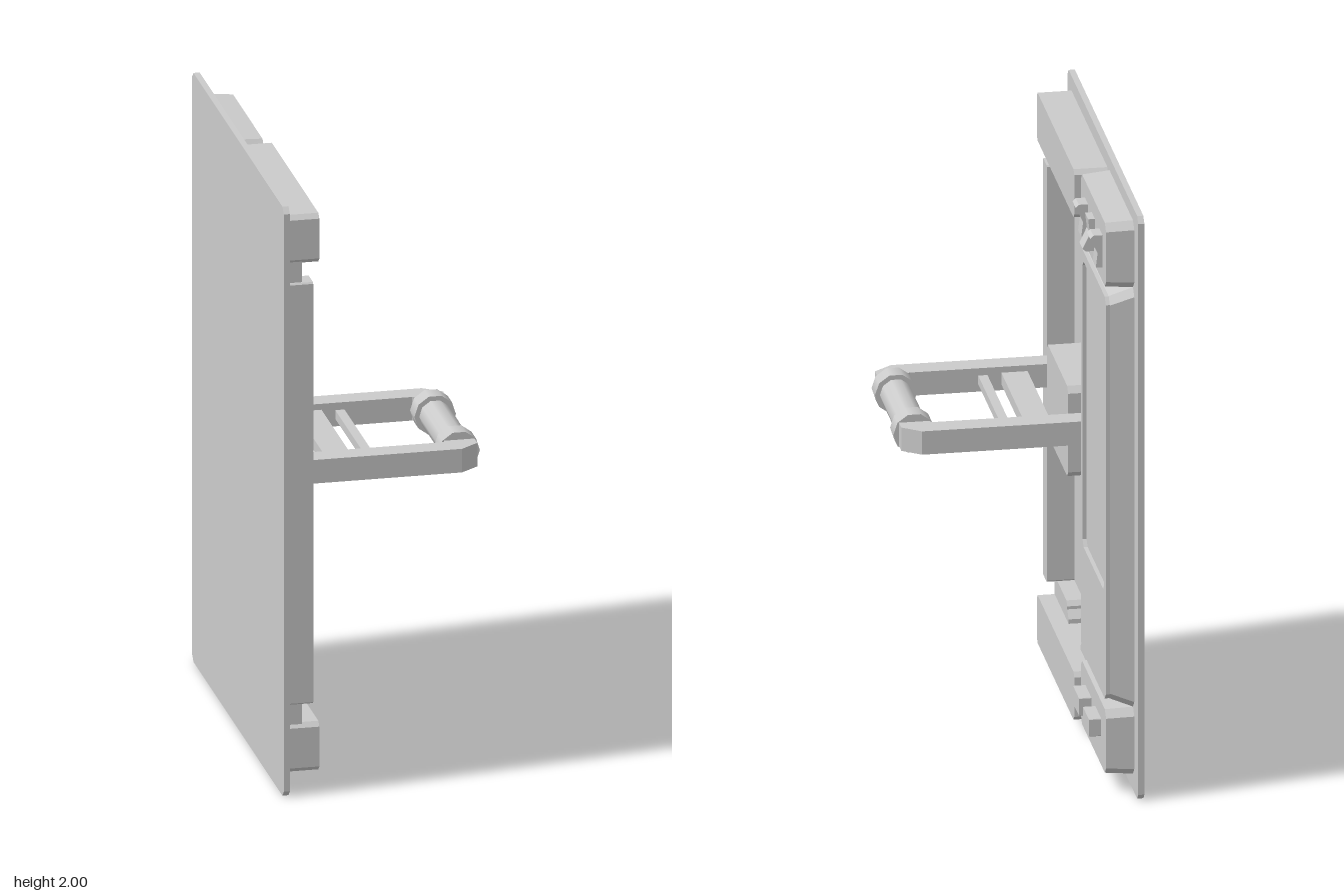
import * as THREE from 'three';

const mat = new THREE.MeshStandardMaterial({ color: 0xcccccc });

// Rectangle with cut corners, drawn in (-z, y)
function cutRect(P, z0, z1, y0, y1, c) {
  const a = -z1, b = -z0;
  const p = [[a + c, y0], [b - c, y0], [b, y0 + c], [b, y1 - c], [b - c, y1], [a + c, y1], [a, y1 - c], [a, y0 + c]];
  return new P(p.map(([u, v]) => new THREE.Vector2(u, v)));
}

export function createModel() {
  const group = new THREE.Group();

  const add = (name, geo) => {
    const m = new THREE.Mesh(geo, mat);
    m.name = name;
    group.add(m);
    return m;
  };

  // Extrude a (-z, y) shape outward along +x
  const extrudeX = (shape, x0, x1) => {
    const g = new THREE.ExtrudeGeometry(shape, { depth: x1 - x0, bevelEnabled: false });
    g.rotateY(Math.PI / 2);
    return g.translate(x0, 0, 0);
  };

  // Cut-corner slab whose outer face is inset by tz, ty; optional hole [z0, z1, y0, y1, cut]
  const slab = (name, [z0, z1], [y0, y1], [x0, x1], cut = 0.001, tz = 0, ty = 0, hole = null) => {
    const shape = cutRect(THREE.Shape, z0, z1, y0, y1, cut);
    if (hole) shape.holes.push(cutRect(THREE.Path, ...hole));
    const g = extrudeX(shape, x0, x1), p = g.attributes.position;
    const cz = (z0 + z1) / 2, cy = (y0 + y1) / 2;
    for (let i = 0; i < p.count; i++) {
      if (p.getX(i) < (x0 + x1) / 2) continue;
      p.setZ(i, cz + (p.getZ(i) - cz) * (1 - 2 * tz / (z1 - z0)));
      p.setY(i, cy + (p.getY(i) - cy) * (1 - 2 * ty / (y1 - y0)));
    }
    g.computeVertexNormals();
    return add(name, g);
  };

  const FLOOR = -0.33;

  // Back plate
  slab('backPlate', [-0.67, 0.67], [0, 2], [-0.35, FLOOR], 0.02);

  // Upper and lower blocks framing the recess, with stepped tabs facing inward
  for (const top of [true, false]) {
    const side = top ? 'upper' : 'lower';
    const span = (a, b) => (top ? [2.01 - b, 2.01 - a] : [a, b]);
    slab(side + 'Block', [-0.1, 0.61], span(0.06, 0.225), [FLOOR, -0.22], 0.015);
    for (const [z0, z1, inner] of [[0.34, 0.6, 1], [-0.1, 0.09, -1]]) {
      const near = inner > 0 ? z0 : z1, far = inner > 0 ? z1 : z0;
      const y = v => (top ? 2.01 - v : v);
      const pts = [[far, 0.2], [near - inner * 0.01, 0.2], [near - inner * 0.01, 0.24],
        [near + inner * 0.015, 0.265], [near + inner * 0.015, 0.275], [near + inner * 0.03, 0.29], [far, 0.29]];
      const shape = new THREE.Shape(pts.map(([z, v]) => new THREE.Vector2(-z, y(v))));
      add(side + 'Tab', extrudeX(shape, FLOOR, -0.275));
    }
    // End blocks of the control column
    slab(side + 'ControlBlock', [-0.595, -0.1], span(0.055, 0.285), [FLOOR, -0.24], 0.025, 0.008, 0.006);
  }

  // Side rail
  slab('sideRail', [0.537, 0.61], [0.29, 1.72], [FLOOR, -0.24], 0.005);

  // Long control panel with a shallow sunken field
  slab('controlPanel', [-0.595, -0.1], [0.285, 1.725], [FLOOR, -0.253], 0.025, 0.013, 0.03);
  slab('controlPanelRim', [-0.582, -0.113], [0.315, 1.695], [-0.253, -0.24], 0.022, 0, 0,
    [-0.55, -0.14, 0.68, 1.66, 0.02]);

  // Rocker switches, the middle one flipped
  [-0.215, -0.345, -0.49].forEach((z, i) => {
    const prof = [[-0.25, -0.055], [-0.218, -0.055], [-0.224, -0.005], [-0.2, 0.045], [-0.21, 0.055], [-0.25, 0.055]];
    const flip = i === 1 ? -1 : 1;
    const shape = new THREE.Shape(prof.map(([x, y]) => new THREE.Vector2(x, 1.835 + flip * y)));
    const g = new THREE.ExtrudeGeometry(shape, { depth: 0.06, bevelEnabled: false });
    add('rockerSwitch', g.translate(0, 0, z - 0.03));
  });

  // Push buttons
  for (const z of [-0.25, -0.437]) {
    slab('pushButton', [z - 0.057, z + 0.057], [0.16, 0.22], [-0.25, -0.2], 0.002);
  }

  // Handle base
  slab('handleBase', [0.015, 0.42], [0.85, 1.16], [FLOOR, -0.22], 0.02);

  // Handle arms, bent inward at the end
  const CZ = 0.215, CY = 1.04;
  for (const s of [-1, 1]) {
    const pts = [[FLOOR, 0.295], [0.27, 0.295], [0.33, 0.25], [0.33, 0.205], [0.23, 0.205], [0.23, 0.215], [0.222, 0.22], [FLOOR, 0.22]];
    const shape = new THREE.Shape(pts.map(([x, d]) => new THREE.Vector2(x, -(CZ + s * d))));
    const g = new THREE.ExtrudeGeometry(shape, { depth: 0.08, bevelEnabled: false });
    add('handleArm', g.rotateX(-Math.PI / 2).translate(0, CY - 0.04, 0));
  }

  // Crossbars between the arms
  for (const [x0, x1, h] of [[-0.16, -0.075, 0.04], [-0.03, 0, 0.03]]) {
    add('crossbar', new THREE.BoxGeometry(x1 - x0, h, 0.44)).position.set((x0 + x1) / 2, CY, CZ);
  }

  // Grip and its collars
  const rod = (name, r, len, z) => {
    const g = new THREE.CylinderGeometry(r, r, len, 10);
    add(name, g.rotateY(Math.PI / 2).rotateX(Math.PI / 2)).position.set(0.28, CY, z);
  };
  rod('grip', 0.052, 0.4, CZ);
  for (const s of [-1, 1]) rod('gripCollar', 0.068, 0.065, CZ + s * 0.175);

  return group;
}
